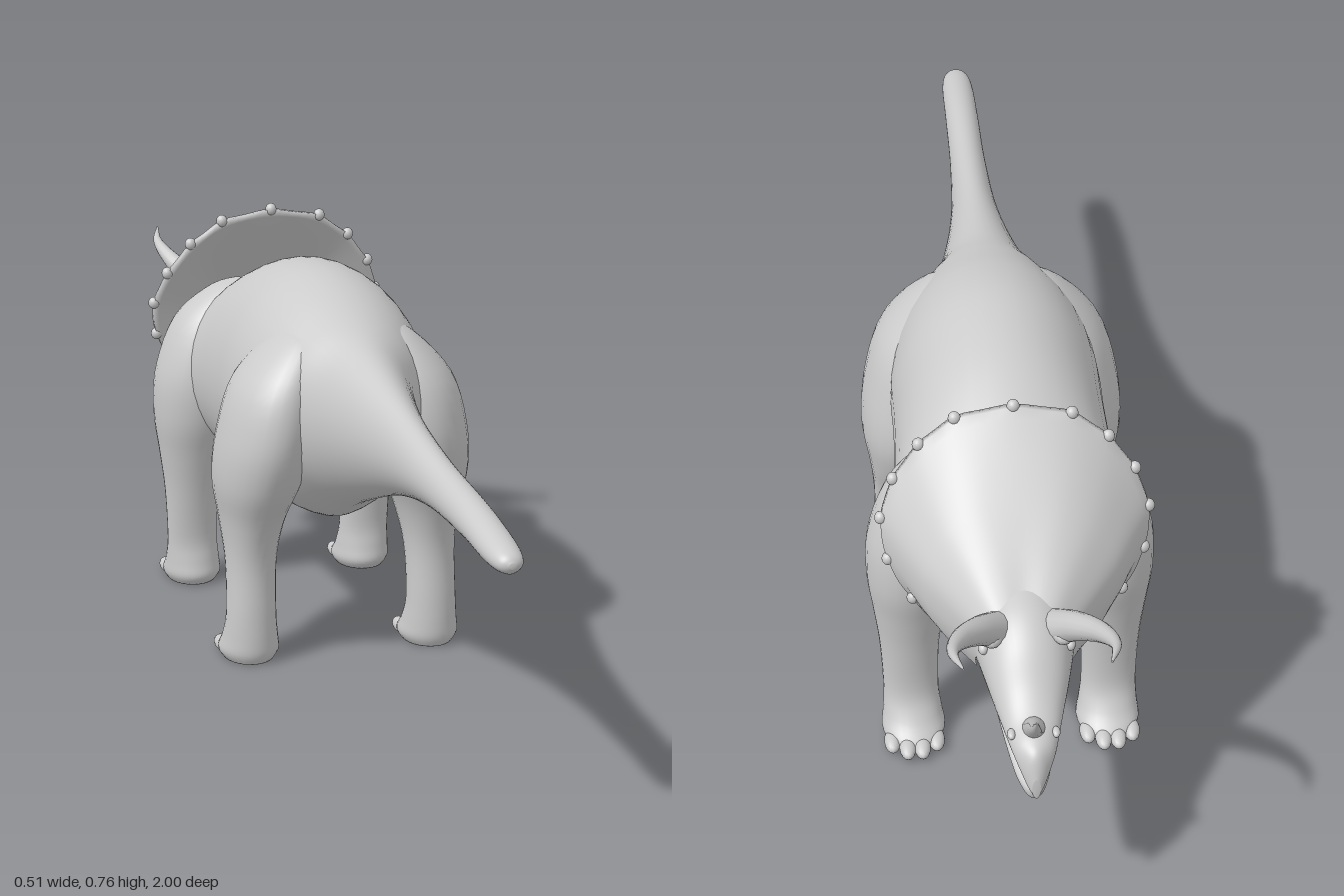
import * as THREE from 'three';

const material = new THREE.MeshStandardMaterial({ color: 0xcccccc, roughness: 0.8, side: THREE.DoubleSide });

function add(parent, name, geometry) {
  const mesh = new THREE.Mesh(geometry, material);
  mesh.name = name;
  parent.add(mesh);
  return mesh;
}

// Smoothly resample a table of section rows, column by column
function resample(rows, count) {
  const columns = rows[0].map((_, c) => new THREE.SplineCurve(rows.map((r, i) => new THREE.Vector2(i, r[c]))));
  return Array.from({ length: count + 1 }, (_, i) => columns.map(c => c.getPoint(i / count).y));
}

// Skin a list of rings (arrays of Vector3); closed rings get end caps and outward faces
function skin(rings, closed = true) {
  const n = rings[0].length, pos = [], idx = [];
  rings.forEach(r => r.forEach(p => pos.push(p.x, p.y, p.z)));
  for (let i = 0; i < rings.length - 1; i++) {
    for (let j = 0; j < (closed ? n : n - 1); j++) {
      const a = i * n + j, b = i * n + (j + 1) % n;
      idx.push(a, b, a + n, b, b + n, a + n);
    }
  }
  if (closed) {
    [0, rings.length - 1].forEach((k, end) => {
      const centre = rings[k].reduce((s, p) => s.add(p), new THREE.Vector3()).divideScalar(n);
      const c = pos.length / 3;
      pos.push(centre.x, centre.y, centre.z);
      for (let j = 0; j < n; j++) {
        const a = k * n + j, b = k * n + (j + 1) % n;
        if (end) idx.push(a, b, c); else idx.push(b, a, c);
      }
    });
    const v = i => new THREE.Vector3().fromArray(pos, i * 3);
    let volume = 0;
    for (let i = 0; i < idx.length; i += 3) volume += v(idx[i]).dot(v(idx[i + 1]).cross(v(idx[i + 2])));
    if (volume < 0) idx.reverse();
  }
  const g = new THREE.BufferGeometry();
  g.setAttribute('position', new THREE.Float32BufferAttribute(pos, 3));
  g.setIndex(idx);
  g.computeVertexNormals();
  return g;
}

// Rows: z, top, bottom, half width, height of widest point (0..1); taper sharpens the underside
function loftZ(rows, count, taper = 1, n = 40) {
  return skin(resample(rows, count).map(([z, top, bottom, w, f]) => {
    const mid = bottom + (top - bottom) * f;
    return Array.from({ length: n }, (_, j) => {
      const a = j / n * Math.PI * 2, c = Math.cos(a), s = Math.sin(a);
      const x = w * Math.sign(c) * Math.pow(Math.abs(c), s < 0 ? taper : 1);
      return new THREE.Vector3(x, mid + s * (s > 0 ? top - mid : mid - bottom), z);
    });
  }));
}

// Rows: y, inner x, outer x, back z, front z
function loftLeg(rows, side, n = 28) {
  return skin(resample(rows, 45).map(([y, x0, x1, z0, z1]) => Array.from({ length: n }, (_, j) => {
    const a = j / n * Math.PI * 2;
    return new THREE.Vector3(side * ((x0 + x1) / 2 + (x1 - x0) / 2 * Math.cos(a)), Math.max(y, 0.002),
      (z0 + z1) / 2 + (z0 - z1) / 2 * Math.sin(a));
  })));
}

// Tapered horn: a tube shrunk towards its path
function horn(points, radius) {
  const path = new THREE.CatmullRomCurve3(points.map(p => new THREE.Vector3(...p)));
  const g = new THREE.TubeGeometry(path, 24, radius, 14), p = g.attributes.position, v = new THREE.Vector3();
  for (let i = 0; i < p.count; i++) {
    const t = Math.floor(i / 15) / 24;
    v.fromBufferAttribute(p, i).lerp(path.getPointAt(t), Math.pow(t, 1.1) * 0.95);
    p.setXYZ(i, v.x, v.y, v.z);
  }
  return g;
}

function blob(parent, name, [x, y, z], [sx, sy, sz]) {
  const mesh = add(parent, name, new THREE.SphereGeometry(1, 16, 12));
  mesh.position.set(x, y, z);
  mesh.scale.set(sx, sy, sz);
  return mesh;
}

function makeFrill(head) {
  // Half outlines from the crown down to the cheek
  const rim = [[0, .748, -.495], [.1, .73, -.498], [.162, .685, -.508], [.207, .625, -.522],
    [.23, .56, -.545], [.22, .49, -.57], [.18, .43, -.605], [.125, .395, -.65]];
  const root = [[0, .53, -.75], [.03, .53, -.755], [.05, .52, -.765], [.065, .5, -.77],
    [.075, .48, -.77], [.08, .45, -.765], [.083, .42, -.755], [.08, .385, -.74]];
  const full = half => new THREE.CatmullRomCurve3([
    ...half.slice(1).reverse().map(([x, y, z]) => new THREE.Vector3(-x, y, z)),
    ...half.map(p => new THREE.Vector3(...p))]);
  const R = full(rim), S = full(root), N = 84;
  // v runs from face to rim on the front, then from rim to neck on the back
  const steps = [[0, 0, 0], [.25, .004, 0], [.5, .01, 0], [.75, .006, 0], [.93, 0, 0], [1, 0, 0],
    [1, 0, .012], [.93, 0, .02], [.7, 0, .04], [.4, 0, .07], [.1, 0, .1]];
  const rings = steps.map(([v, bulge, back]) => Array.from({ length: N + 1 }, (_, i) => {
    const p = S.getPoint(i / N).lerp(R.getPoint(i / N), v);
    p.x += Math.sign(p.x) * Math.min(1, Math.abs(p.x) * 20) * bulge;
    // shallow scallops between the rim studs
    if (v === 1) p.y -= 0.004 * Math.pow(Math.sin(i / N * 14 * Math.PI), 2);
    p.z += back;
    if (v === 1) p.z -= 0.006;
    return p;
  }));
  add(head, 'frill', skin(rings, false));
  for (let i = 0; i < 15; i++) {
    const p = R.getPoint(i / 14);
    blob(head, 'frillStud', [p.x, p.y, p.z], [.011, .012, .011]);
  }
}

export function createModel() {
  const model = new THREE.Group();
  model.name = 'hornedDinosaur';

  // Tail, trunk and neck in one skin
  add(model, 'bodyAndTail', loftZ([
    [1, .508, .498, .006, .5], [.985, .522, .485, .023, .5], [.93, .535, .481, .031, .5], [.8, .553, .484, .033, .5],
    [.6, .568, .472, .036, .5], [.4, .597, .432, .05, .5], [.2, .64, .36, .09, .52], [.1, .67, .318, .14, .52],
    [0, .702, .265, .18, .5], [-.1, .72, .243, .192, .5], [-.2, .717, .237, .192, .5], [-.3, .698, .237, .195, .5],
    [-.4, .658, .245, .2, .5], [-.5, .605, .258, .18, .5], [-.6, .56, .282, .13, .5], [-.7, .52, .32, .085, .5],
    [-.75, .48, .36, .05, .5]], 110, 1.25));

  // Legs with toes
  const hind = [[.655, .06, .07, .02, 0], [.63, .04, .13, .09, -.06], [.55, .05, .205, .14, -.1], [.45, .06, .236, .15, -.118],
    [.36, .08, .244, .125, -.118], [.28, .11, .232, .083, -.09], [.2, .127, .224, .06, -.047], [.1, .13, .225, .06, -.03],
    [.05, .125, .23, .06, -.05], [.02, .12, .235, .058, -.075], [.002, .13, .225, .05, -.07]];
  const fore = [[.63, .08, .09, -.43, -.44], [.61, .06, .145, -.39, -.48], [.55, .06, .212, -.36, -.52], [.45, .07, .25, -.345, -.535],
    [.36, .09, .255, -.355, -.53], [.28, .112, .245, -.38, -.51], [.2, .127, .235, -.4, -.495], [.1, .13, .23, -.415, -.488],
    [.05, .125, .232, -.41, -.51], [.02, .12, .235, -.405, -.54], [.002, .13, .225, -.415, -.535]];
  for (const side of [1, -1]) {
    for (const [name, rows, toeZ] of [['hindLeg', hind, -.072], ['foreLeg', fore, -.537]]) {
      const leg = new THREE.Group();
      leg.name = name;
      model.add(leg);
      add(leg, name + 'Limb', loftLeg(rows, side));
      for (let i = 0; i < 4; i++) {
        const d = (i - 1.5) / 1.5;
        blob(leg, 'toe', [side * (.178 + d * .04), .015, toeZ + .022 * d * d], [.015, .014, .03]);
      }
    }
  }

  // Head
  const head = new THREE.Group();
  head.name = 'head';
  model.add(head);
  add(head, 'skull', loftZ([
    [-.6, .53, .42, .06, .5], [-.66, .55, .375, .088, .45], [-.72, .545, .352, .09, .45], [-.78, .532, .348, .08, .5],
    [-.83, .502, .355, .069, .5], [-.88, .453, .362, .055, .45], [-.92, .425, .364, .045, .45], [-.96, .412, .355, .034, .45],
    [-.985, .395, .325, .019, .45], [-.998, .355, .317, .007, .5]], 60));
  add(head, 'lowerJaw', loftZ([
    [-.66, .40, .35, .055, .5], [-.74, .39, .33, .06, .5], [-.82, .365, .314, .05, .55], [-.88, .337, .3, .039, .6],
    [-.93, .322, .288, .028, .6], [-.96, .316, .284, .016, .6], [-.968, .308, .295, .005, .5]], 36));
  makeFrill(head);

  add(head, 'noseHorn', horn([[0, .395, -.915], [0, .425, -.945], [0, .45, -.972], [0, .477, -.992]], .024));
  for (const side of [1, -1]) {
    add(head, 'browHorn', horn([[side * .048, .495, -.775], [side * .08, .528, -.815], [side * .115, .56, -.87],
      [side * .132, .588, -.935], [side * .119, .605, -.995]], .031));
    blob(head, 'browRidge', [side * .06, .503, -.79], [.022, .02, .036]);
    blob(head, 'eye', [side * .073, .473, -.795], [.009, .011, .013]);
    const cheek = blob(head, 'cheekBone', [side * .09, .41, -.69], [.025, .028, .06]);
    cheek.rotation.y = side * .4;
    blob(head, 'nostril', [side * .037, .405, -.935], [.007, .007, .012]);
  }
  return model;
}
